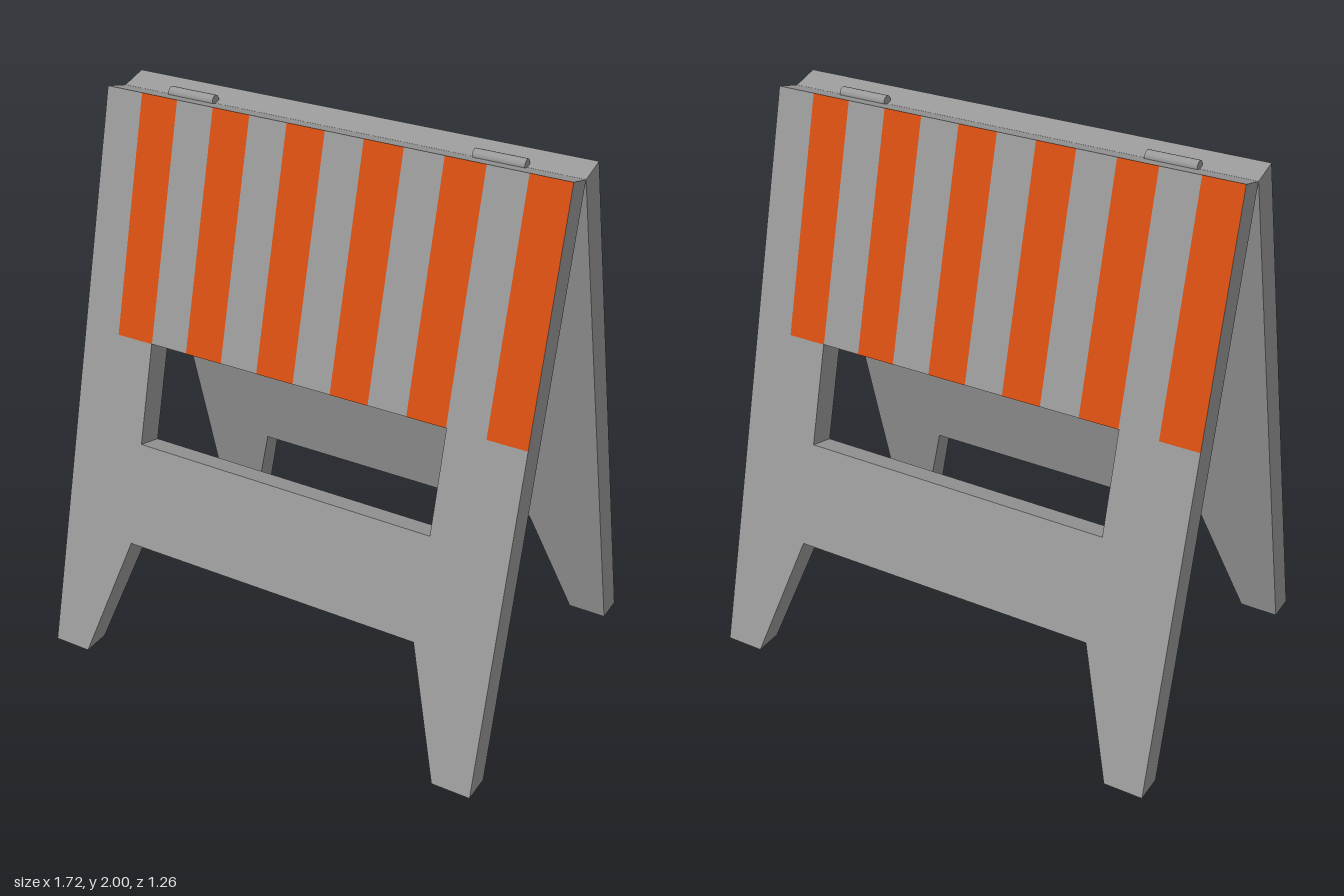
import * as THREE from 'three';

const TILT = Math.atan(0.266);
const COS = Math.cos(TILT), SIN = Math.sin(TILT);
const THICK = 0.1;     // panel thickness
const TOP_Z = 0.097;   // outer top edge of each panel
const HALF_W = 0.86;
const HALF_HOLE = 0.575;

const grey = new THREE.MeshStandardMaterial({ color: 0x999999 });
const orange = new THREE.MeshStandardMaterial({ color: 0xd64e11 });

// Distance along the sloping face for a height on its outer side
const slope = (y) => (y - 2) / COS;

function named(name, geometry, material) {
  const mesh = new THREE.Mesh(geometry, material);
  mesh.name = name;
  return mesh;
}

// Flat board with a window and a notch between two tapering legs
function boardGeometry() {
  const foot = slope(0), notch = slope(0.455);
  const shape = new THREE.Shape([
    [-HALF_W, foot], [-0.718, foot], [-HALF_HOLE, notch], [HALF_HOLE, notch],
    [0.718, foot], [HALF_W, foot], [HALF_W, 0], [-HALF_W, 0],
  ].map(([x, y]) => new THREE.Vector2(x, y)));
  const lo = slope(0.82), hi = slope(1.178);
  shape.holes.push(new THREE.Path([
    [-HALF_HOLE, lo], [-HALF_HOLE, hi], [HALF_HOLE, hi], [HALF_HOLE, lo],
  ].map(([x, y]) => new THREE.Vector2(x, y))));
  const geo = new THREE.ExtrudeGeometry(shape, { depth: THICK, bevelEnabled: false });
  geo.translate(0, 0, -THICK);

  // Cut the feet level with the ground
  const pos = geo.attributes.position;
  const innerFoot = -(2 - THICK * SIN) / COS;
  for (let i = 0; i < pos.count; i++) {
    if (pos.getY(i) < foot + 0.001 && pos.getZ(i) < -THICK / 2) pos.setY(i, innerFoot);
  }
  geo.computeVertexNormals();
  return geo;
}

// One leaning panel with its striped outer face
function buildPanel(name) {
  const side = new THREE.Group();
  side.name = name;
  const panel = new THREE.Group();
  panel.name = 'leaningPanel';
  panel.position.set(0, 2, TOP_Z);
  panel.rotation.x = -TILT;
  panel.add(named('board', boardGeometry(), grey));

  const stripeW = HALF_W / 6, stripeH = -slope(1.178);
  for (let i = 0; i < 6; i++) {
    const stripe = named('stripe', new THREE.PlaneGeometry(stripeW, stripeH), orange);
    stripe.position.set(-HALF_W + (2 * i + 1.5) * stripeW, -stripeH / 2, 0.001);
    panel.add(stripe);
  }
  side.add(panel);
  return side;
}

export function createModel() {
  const model = new THREE.Group();
  model.name = 'foldingBarricade';

  const front = buildPanel('frontPanel');
  const back = buildPanel('backPanel');
  back.rotation.y = Math.PI;
  model.add(front, back);

  // Hinge barrels along the ridge
  for (const s of [-1, 1]) {
    const hinge = named('hinge', new THREE.CylinderGeometry(0.02, 0.02, 0.18, 16), grey);
    hinge.rotation.z = Math.PI / 2;
    hinge.position.set(s * 0.575, 1.983, 0);
    model.add(hinge);
  }
  return model;
}
